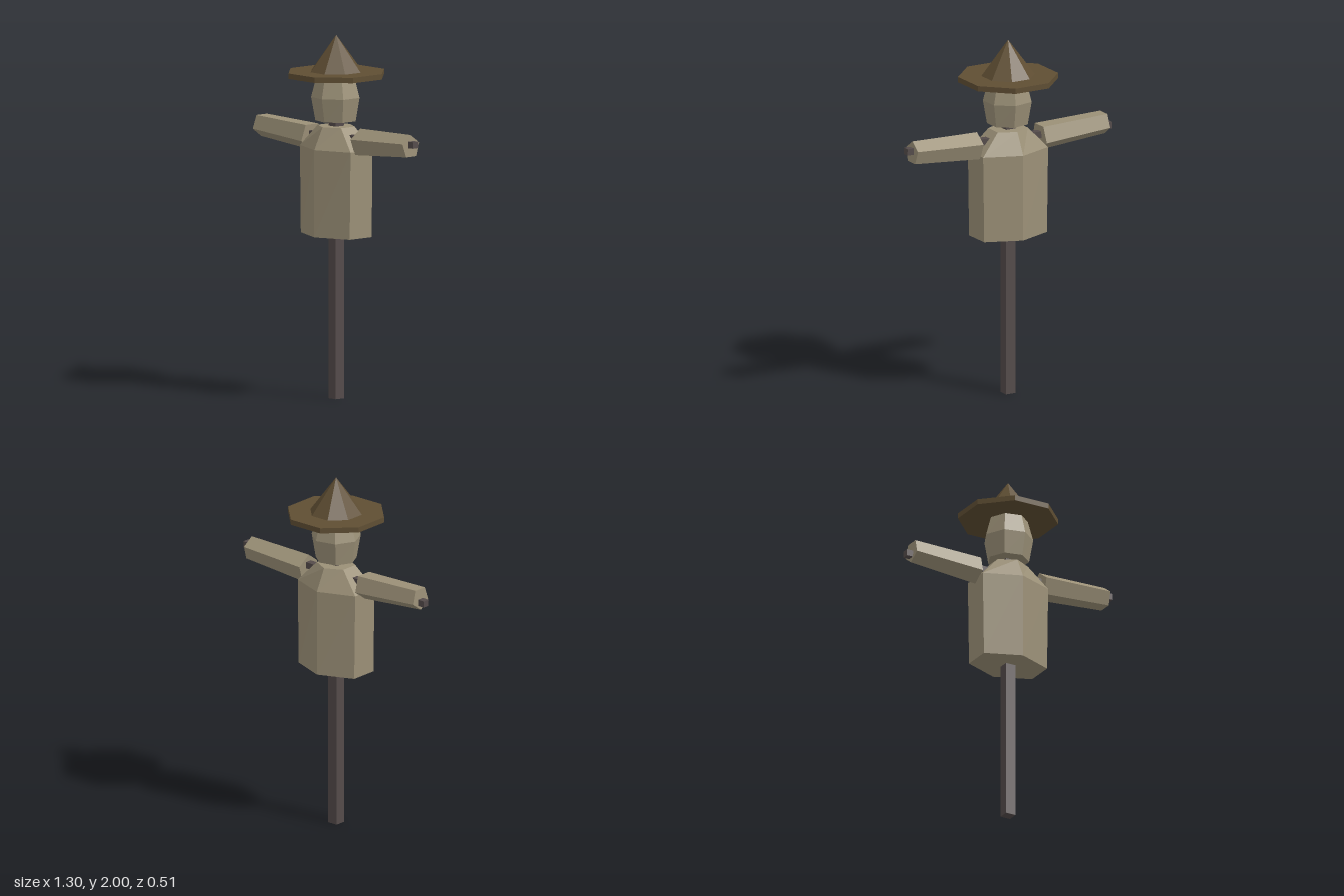
import * as THREE from 'three';

const mat = (name, color) => new THREE.MeshStandardMaterial({ name, color, flatShading: true });

// Faceted solid through rings [y, radiusX, radiusZ], closed at both ends.
function loft(rings, sides, start = 0) {
  const pos = [], idx = [];
  for (const [y, rx, rz] of rings) {
    for (let i = 0; i < sides; i++) {
      const a = start + (i / sides) * Math.PI * 2;
      pos.push(Math.sin(a) * rx, y, Math.cos(a) * rz);
    }
  }
  const last = rings.length - 1;
  for (let r = 0; r < last; r++) {
    for (let i = 0; i < sides; i++) {
      const a = r * sides + i, b = r * sides + (i + 1) % sides;
      idx.push(a, b, b + sides, a, b + sides, a + sides);
    }
  }
  for (let i = 1; i < sides - 1; i++) {
    idx.push(0, i + 1, i);
    idx.push(last * sides, last * sides + i, last * sides + i + 1);
  }
  const g = new THREE.BufferGeometry();
  g.setAttribute('position', new THREE.Float32BufferAttribute(pos, 3));
  g.setIndex(idx);
  const flat = g.toNonIndexed();
  flat.computeVertexNormals();
  return flat;
}

export function createModel() {
  const group = new THREE.Group();
  const sackcloth = mat('sackcloth', 0x9b9077);
  const hatBrown = mat('hatBrown', 0x5f4e33);
  const wood = mat('wood', 0x544b4a);
  const add = (name, geometry, material, x = 0, y = 0, tilt = 0) => {
    const m = new THREE.Mesh(geometry, material);
    m.name = name;
    m.position.set(x, y, 0);
    m.rotation.z = tilt;
    group.add(m);
    return m;
  };

  // Wooden frame: upright post and slightly crooked crossbeam
  add('post', new THREE.BoxGeometry(0.06, 1.6, 0.06), wood, 0, 0.8);
  add('crossbeam', new THREE.BoxGeometry(1.3, 0.036, 0.04), wood, 0, 1.442, 0.03);

  // Six-sided torso with sloping shoulders
  add('torso', loft([[0.9, 0.23, 0.16], [1.38, 0.238, 0.16], [1.5, 0.11, 0.1]], 6), sackcloth);

  // Seven-sided head
  add('head', loft([[1.53, 0.116, 0.112], [1.66, 0.138, 0.136], [1.78, 0.105, 0.105]], 7, -Math.PI / 2), sackcloth);

  // Tapered five-sided sleeves, one turned over
  const sleeve = new THREE.CylinderGeometry(0.066, 0.078, 0.41, 5);
  sleeve.rotateZ(-Math.PI / 2).rotateX(-Math.PI / 2);
  add('leftSleeve', sleeve, sackcloth, 0.405, 1.437, 0.05);
  add('rightSleeve', sleeve, sackcloth, -0.405, 1.434, Math.PI - 0.05);

  // Eight-sided hat: flat brim and pointed crown
  add('hatBrim', new THREE.CylinderGeometry(0.275, 0.275, 0.03, 8, 1, false, Math.PI / 8), hatBrown, 0, 1.785);
  add('hatCrown', new THREE.CylinderGeometry(0, 0.147, 0.2, 8, 1, false, Math.PI / 8), hatBrown, 0, 1.9);

  return group;
}
